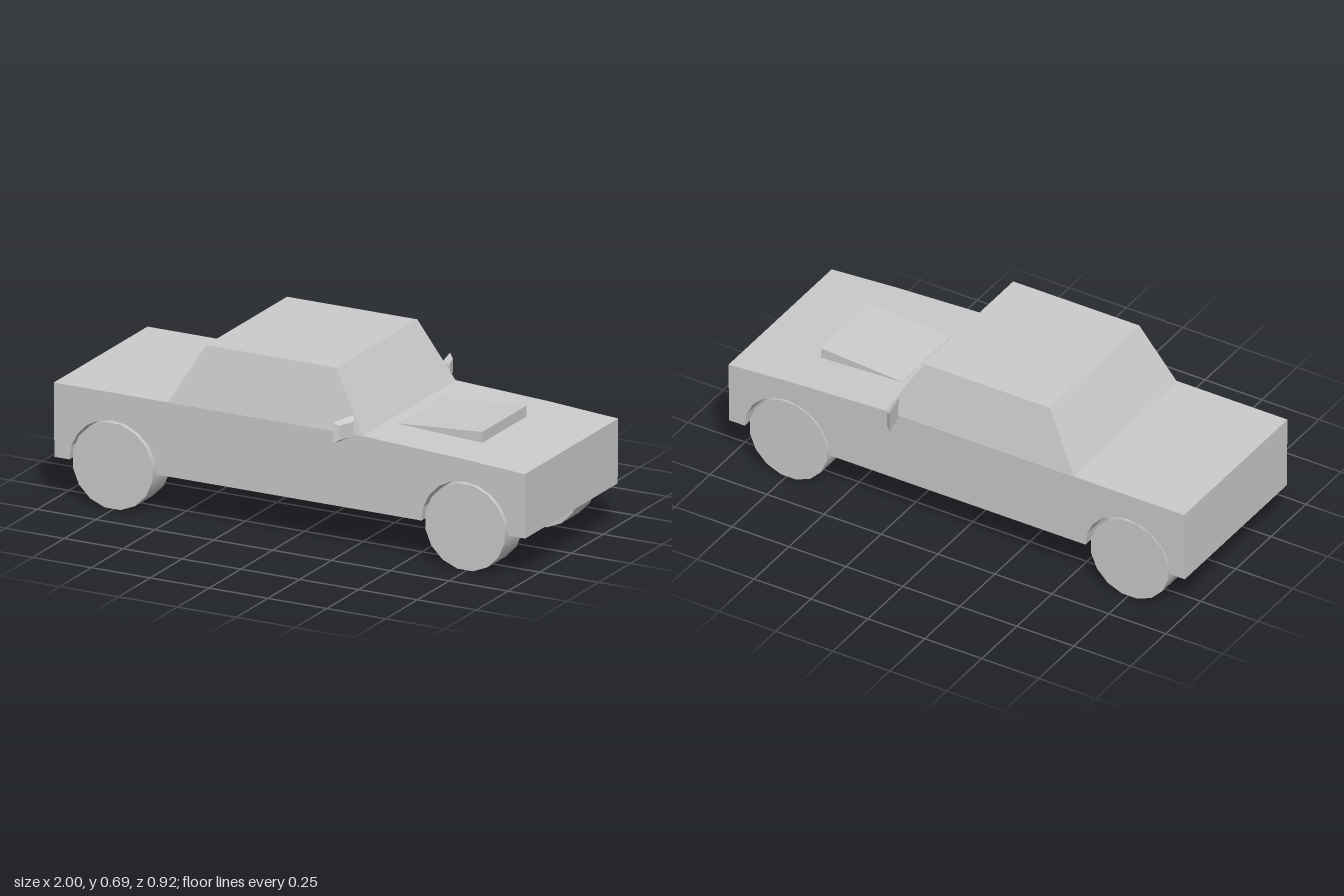
import * as THREE from 'three';

const material = new THREE.MeshStandardMaterial({ color: 0xcccccc, flatShading: true });
const smooth = new THREE.MeshStandardMaterial({ color: 0xcccccc });

// Extrudes a side profile across z, the half width running from w0 at y0 to w1 at y1
function crossSection(name, points, y0, w0, y1, w1) {
  const shape = new THREE.Shape(points.map(([x, y]) => new THREE.Vector2(x, y)));
  const geometry = new THREE.ExtrudeGeometry(shape, { depth: 2, bevelEnabled: false });
  geometry.translate(0, 0, -1);
  const p = geometry.attributes.position;
  for (let i = 0; i < p.count; i++) {
    const width = THREE.MathUtils.mapLinear(p.getY(i), y0, y1, w0, w1);
    p.setZ(i, p.getZ(i) * width);
  }
  geometry.computeVertexNormals();
  const mesh = new THREE.Mesh(geometry, material);
  mesh.name = name;
  return mesh;
}

// Wheel arch outline, from its rear foot over to its front foot
function arch(cx, bottom) {
  const points = [];
  for (let i = 0; i <= 10; i++) {
    const a = Math.PI * (1 - i / 10);
    points.push([cx + 0.186 * Math.cos(a), bottom + 0.185 * Math.sin(a)]);
  }
  return points;
}

// Slanted mirror housing: a full rear face tapering to a smaller front face
function createMirror(side) {
  const geometry = new THREE.BoxGeometry(1, 1, 1);
  const p = geometry.attributes.position;
  for (let i = 0; i < p.count; i++) {
    const front = p.getX(i) > 0, outer = p.getZ(i) * side > 0, top = p.getY(i) > 0;
    const x = outer ? (front ? 0.255 : 0.235) : (front ? 0.28 : 0.262);
    const z = outer ? (front ? 0.447 : 0.461) : (front ? 0.378 : 0.347);
    const y = top ? (front ? 0.518 : 0.532) : (front ? 0.461 : 0.449);
    p.setXYZ(i, x, y, z * side);
  }
  geometry.computeVertexNormals();
  const mesh = new THREE.Mesh(geometry, material);
  mesh.name = side > 0 ? 'leftSideMirror' : 'rightSideMirror';
  return mesh;
}

export function createModel() {
  const group = new THREE.Group();
  group.name = 'car';

  // Lower body with wheel arches cut right across
  const floor = 0.168;
  group.add(crossSection('body', [
    [-1, floor], ...arch(-0.75, floor), ...arch(0.745, floor), [1, floor],
    [1, 0.423], [0.715, 0.443], [0.31, 0.463], [-1, 0.463],
  ], floor, 0.364, 0.463, 0.369));

  // Cabin narrowing to the roof
  group.add(crossSection('cabin', [
    [-0.515, 0.463], [0.31, 0.463], [0.173, 0.696], [-0.38, 0.696],
  ], 0.463, 0.367, 0.696, 0.319));

  // Wedge scoop on the hood
  group.add(crossSection('hoodScoop', [
    [0.36, 0.455], [0.715, 0.435], [0.715, 0.486], [0.36, 0.462],
  ], 0, 0.173, 1, 0.173));

  // Wheels and mirrors on both sides
  const wheelGeometry = new THREE.CylinderGeometry(0.172, 0.172, 0.14, 16);
  wheelGeometry.rotateY(Math.PI / 16).rotateX(Math.PI / 2);
  for (const side of [1, -1]) {
    for (const [end, x] of [['front', 0.742], ['rear', -0.755]]) {
      const wheel = new THREE.Mesh(wheelGeometry, smooth);
      wheel.name = end + (side > 0 ? 'Left' : 'Right') + 'Wheel';
      wheel.position.set(x, 0.17, 0.29 * side);
      group.add(wheel);
    }
    group.add(createMirror(side));
  }
  return group;
}
